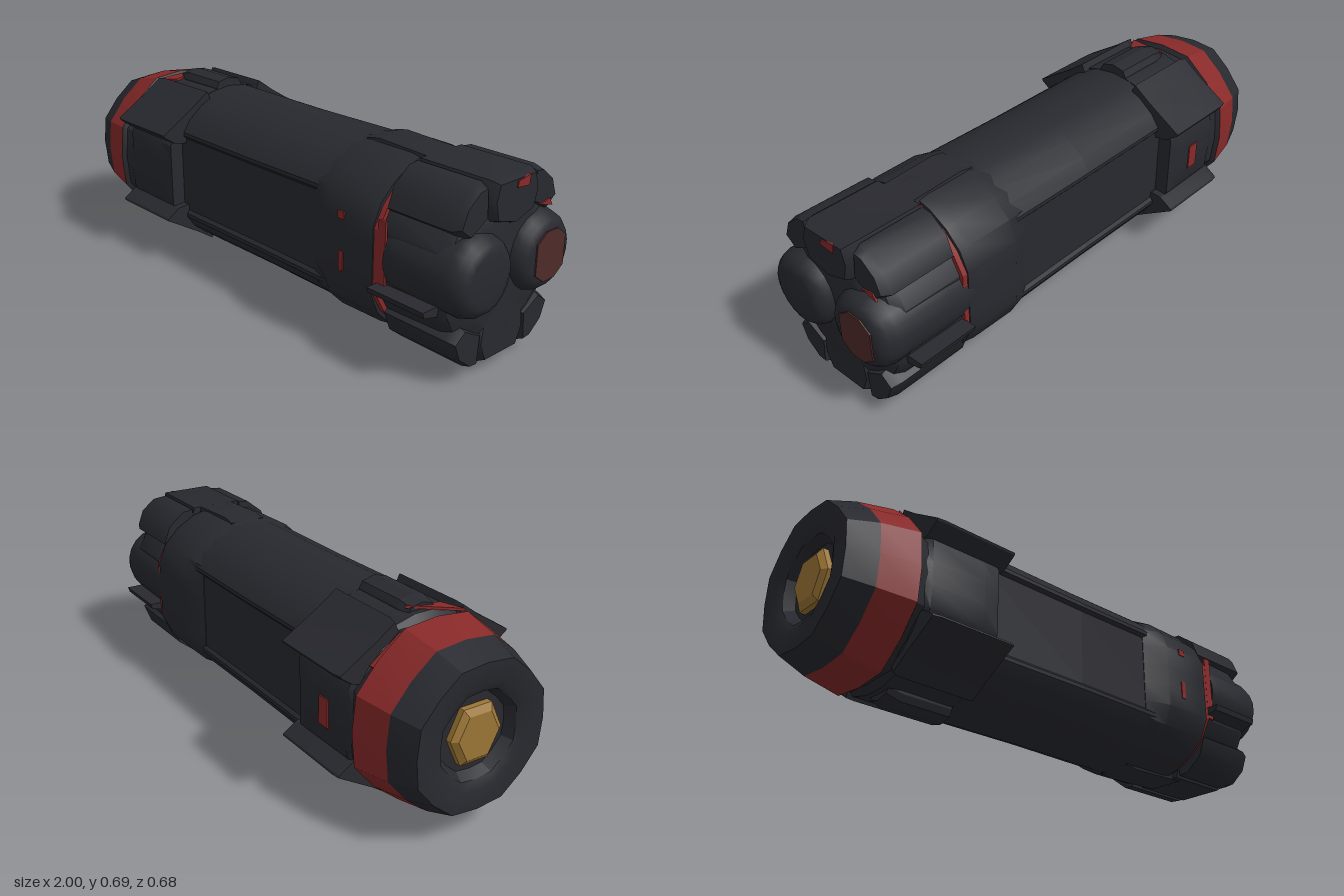
import * as THREE from 'three';
import { toCreasedNormals } from 'three/addons/utils/BufferGeometryUtils.js';

const paint = (name, hex) => {
  const m = new THREE.MeshStandardMaterial({ color: hex });
  m.name = name;
  return m;
};

// Closed cross-section [z, v] (v = height above the axis): a circle flattened at the sides
function ring(r, side = r, n = 24, cz = 0, cv = 0) {
  return Array.from({ length: n }, (_, i) => {
    const a = ((i + 0.5) / n) * Math.PI * 2;
    return [cz + THREE.MathUtils.clamp(r * Math.sin(a), -side, side), cv + r * Math.cos(a)];
  });
}

// Octagon with slightly bulging flats
function octagon(r) {
  return Array.from({ length: 16 }, (_, i) => {
    const a = (i * Math.PI) / 8, k = i % 2 ? r * 1.04 : r;
    return [k * Math.sin(a), k * Math.cos(a)];
  });
}

// Shrinks a cross-section about its centre
function inset(pts, s) {
  const c = [0, 1].map(k => pts.reduce((t, p) => t + p[k], 0) / pts.length);
  return pts.map(p => [c[0] + (p[0] - c[0]) * s, c[1] + (p[1] - c[1]) * s]);
}

const flip = (pts, sz, sv) => pts.map(([z, v]) => [z * sz, v * sv]);

// Skins sections [x, points] along the x axis, closing the ends where asked
function loft(sections, startCap = true, endCap = true, crease = 0.5) {
  const rings = sections.map(([x, pts]) => {
    const flat = pts.map(([z, v]) => new THREE.Vector2(v, z));
    if (THREE.ShapeUtils.area(flat) < 0) flat.reverse();
    return { x, flat };
  });
  const pos = [];
  const put = (r, i) => pos.push(r.x, r.flat[i].x, r.flat[i].y);
  for (let k = 0; k < rings.length - 1; k++) {
    const a = rings[k], b = rings[k + 1], n = a.flat.length;
    for (let i = 0; i < n; i++) {
      const j = (i + 1) % n;
      put(a, i); put(a, j); put(b, j);
      put(a, i); put(b, j); put(b, i);
    }
  }
  const cap = (r, reverse) => {
    for (const [i, j, k] of THREE.ShapeUtils.triangulateShape(r.flat, [])) {
      put(r, i); put(r, reverse ? k : j); put(r, reverse ? j : k);
    }
  };
  if (startCap) cap(rings[0], true);
  if (endCap) cap(rings[rings.length - 1], false);
  const g = new THREE.BufferGeometry();
  g.setAttribute('position', new THREE.Float32BufferAttribute(pos, 3));
  return toCreasedNormals(g, crease);
}

export function createModel() {
  const dark = paint('charcoal', 0x28292f);
  const red = paint('red', 0x882929);
  const dimRed = paint('dull red', 0x4e2a29);
  const gold = paint('gold', 0x9c7636);

  const model = new THREE.Group();
  model.name = 'cylinderDevice';
  const core = new THREE.Group();
  core.name = 'core';
  core.position.y = 0.35;
  model.add(core);

  const add = (name, geo, mat) => {
    const m = new THREE.Mesh(geo, mat);
    m.name = name;
    core.add(m);
    return m;
  };
  const plate = (name, size, at, tilt = 0) => {
    const m = add(name, new THREE.BoxGeometry(...size), red);
    m.position.set(...at);
    m.rotation.x = tilt;
  };

  // Main barrel with a sunken panel along each side
  const quarter = [[0, 0.306], [0.08, 0.296], [0.155, 0.264], [0.215, 0.217], [0.247, 0.172], [0.247, 0.158], [0.236, 0.146]];
  const right = [...quarter, ...flip(quarter, 1, -1).reverse()];
  const barrel = [...right, ...flip(right, -1, 1).reverse().slice(1, -1)];
  add('barrel', loft([[-0.46, flip(barrel, 1, 1.015)], [0, barrel], [0.44, flip(barrel, 1, 1.015)]]), dark);

  // End cap: recessed dark nose, red band, dark neck
  add('capNose', loft([[-0.95, octagon(0.13)], [-0.985, octagon(0.15)], [-1, octagon(0.18)],
    [-1, octagon(0.25)], [-0.9, octagon(0.285)]], true, false), dark);
  add('capBand', loft([[-0.9, octagon(0.285)], [-0.765, octagon(0.312)]], false, false), red);
  add('capNeck', loft([[-0.765, octagon(0.312)], [-0.755, octagon(0.295)], [-0.71, octagon(0.285)]], false, true), dark);
  add('capPlug', loft([[-0.985, ring(0.085, 0.08, 6)], [-0.97, ring(0.11, 0.1, 6)], [-0.94, ring(0.11, 0.1, 6)]]), gold);

  // Rear collar with four pointed fins and top and bottom ridges
  add('rearCollar', loft([[-0.74, ring(0.285)], [-0.71, ring(0.312, 0.293)], [-0.5, ring(0.314, 0.297)],
    [-0.44, ring(0.314, 0.29)]]), dark);
  const fin = [[0.1, 0.25], [0.13, 0.314], [0.2, 0.264], [0.338, 0.178], [0.335, 0.17], [0.285, 0.135], [0.24, 0.13]];
  for (const sz of [1, -1]) for (const sv of [1, -0.95]) {
    const f = flip(fin, sz, sv);
    add('fin', loft([[-0.73, inset(f, 0.95)], [-0.7, f], [-0.41, f]], true, true, 0.2), dark);
  }
  const ridge = [[-0.065, 0.28], [-0.06, 0.315], [-0.048, 0.338], [0, 0.35], [0.048, 0.338], [0.06, 0.315], [0.065, 0.28]];
  for (const sv of [1, -1]) {
    const k = sv > 0 ? 0.985 : 1;
    add('ridge', loft([[-0.69, flip(ridge, 0.9, 0.95 * sv)], [-0.64, flip(ridge, 1, k * sv)],
      [-0.44, flip(ridge, 1, k * sv)]], true, true, 0.2), dark);
  }

  // Front collar
  add('frontCollar', loft([[0.33, ring(0.3, 0.238)], [0.42, ring(0.32, 0.283)], [0.6, ring(0.318, 0.285)],
    [0.638, ring(0.312, 0.28)]]), dark);
  const slab = [[-0.08, 0.28], [-0.07, 0.32], [0.07, 0.32], [0.08, 0.28]];
  for (const sv of [1, -1]) add('collarSlab', loft([[0.4, flip(slab, 1, 0.97 * sv)], [0.45, flip(slab, 1, sv)],
    [0.7, flip(slab, 1, 0.97 * sv)]]), dark);

  // Thin red seam, then the dark hub of the front cluster
  add('seam', loft([0.63, 0.658].map(x => [x, ring(0.3, 0.276)])), red);
  add('hub', loft([[0.656, ring(0.285, 0.262)], [0.88, ring(0.28, 0.26)], [0.915, ring(0.265, 0.24)],
    [0.945, ring(0.2)]]), dark);

  // Two rounded side barrels, the back one running on over the seam, and their tabs
  const disc = (r, s) => ring(r, r, 20, s * 0.147, 0.02);
  for (const s of [1, -1]) {
    add('sideLobe', loft([[s > 0 ? 0.685 : 0.61, disc(0.138, s)], [0.72, disc(0.142, s)], [0.93, disc(0.14, s)],
      [0.965, disc(0.13, s)], [0.985, disc(0.112, s)], [0.994, disc(0.09, s)]], true, true, 0.7), dark);
    const tab = [[0.2, -0.09], [0.26, -0.066], [0.322, -0.066], [0.315, -0.087], [0.26, -0.1]];
    add('sideTab', loft([0.655, 0.89].map(x => [x, flip(tab, s, 1)]), true, true, 0.2), dark);
  }
  plate('seamEdge', [0.032, 0.26, 0.009], [0.671, 0.02, 0.272]);
  add('lens', loft([0.992, 0.999].map(x => [x, ring(0.09, 0.073, 10, -0.152, 0.017)])), dimRed);

  // Top and bottom blocks of the front cluster
  const top = [[-0.118, 0.25], [-0.1, 0.312], [0.1, 0.312], [0.118, 0.25], [0.1, 0.18], [0, 0.15], [-0.1, 0.18]];
  const bottom = [[-0.12, -0.24], [-0.09, -0.308], [0.09, -0.308], [0.12, -0.24], [0.11, -0.15], [0, -0.08], [-0.11, -0.15]];
  for (const [name, pts, end] of [['topLobe', top, 0.965], ['bottomLobe', bottom, 0.945]]) {
    add(name, loft([[0.66, pts], [end - 0.03, pts], [end, inset(pts, 0.86)]], true, true, 0.8), dark);
  }

  // Diagonal blocks between the lobes; the lower back one covers the seam
  const wedge = [[0.1, 0.19], [0.11, 0.306], [0.15, 0.302], [0.215, 0.25], [0.242, 0.18], [0.19, 0.14]];
  for (const sz of [1, -1]) for (const sv of [1, -1]) {
    const w = flip(wedge, sz, sv);
    const start = sz + sv < 0 ? 0.62 : 0.66;
    add('diagonalBlock', loft([[start, w], [0.91, w], [0.945, inset(w, 0.82)]], true, true, 0.8), dark);
  }

  // Red flash beside the top ridge
  const flash = new THREE.Shape([[-0.035, -0.09], [0.04, -0.05], [0.03, 0.1]].map(p => new THREE.Vector2(...p)));
  const topMark = add('topMark', new THREE.ExtrudeGeometry(flash, { depth: 0.009, bevelEnabled: false }), red);
  topMark.position.set(-0.71, 0.306, 0.04);
  topMark.rotation.x = 0.15 - Math.PI / 2;

  // Small red marks along the sides
  plate('neckMark', [0.02, 0.14, 0.009], [-0.75, 0.234, -0.175], -2.21);
  plate('backMark', [0.05, 0.1, 0.008], [-0.59, -0.01, -0.296]);
  plate('sideMark', [0.02, 0.07, 0.008], [0.5, -0.04, 0.283]);
  plate('sideMark', [0.03, 0.025, 0.008], [0.5, 0.12, 0.283]);

  // Tapered red marks on the front faces of the blocks
  const noseMark = [[0.008, 0.275], [0.005, 0.295], [-0.055, 0.305], [-0.05, 0.27]];
  const cornerMark = [[-0.145, 0.175], [-0.195, 0.185], [-0.21, 0.158]];
  add('noseMark', loft([0.962, 0.969].map(x => [x, noseMark])), red);
  add('cornerMark', loft([0.942, 0.95].map(x => [x, cornerMark])), red);
  return model;
}
